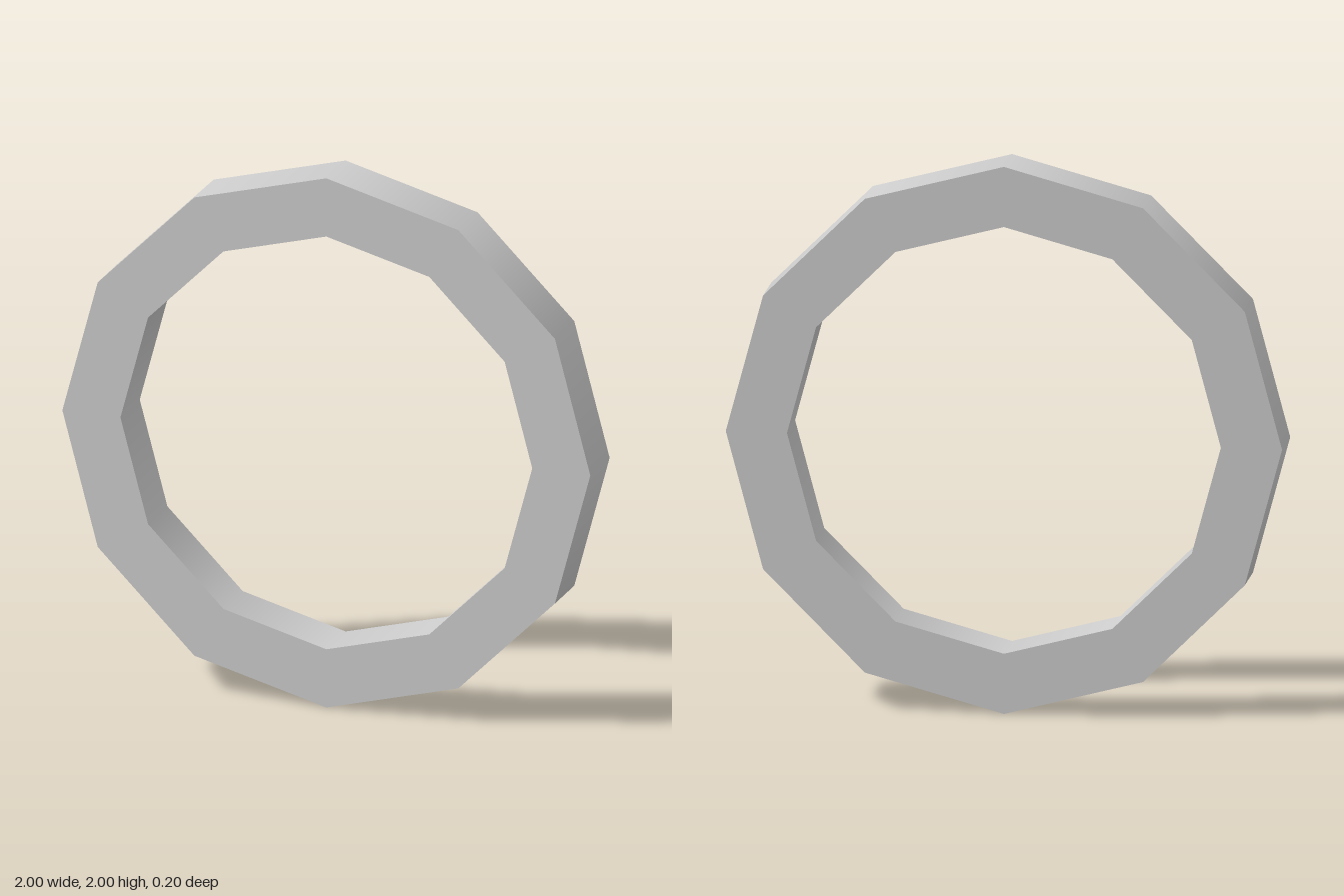
import * as THREE from 'three';
import { mergeGeometries } from 'three/addons/utils/BufferGeometryUtils.js';

const SIDES = 12;
const OUTER = 1;
const INNER = 0.78;
const HALF_DEPTH = 0.1;

export function createModel() {
  const group = new THREE.Group();
  group.name = 'ringModel';

  // Rectangular cross-section, counter-clockwise so faces point outwards
  const section = [
    [INNER, -HALF_DEPTH],
    [OUTER, -HALF_DEPTH],
    [OUTER, HALF_DEPTH],
    [INNER, HALF_DEPTH],
  ].map(([r, y]) => new THREE.Vector2(r, y));

  // One lathe per edge: smooth around the ring, sharp between walls and faces
  const bands = section.map((p, i) =>
    new THREE.LatheGeometry([p, section[(i + 1) % section.length]], SIDES));

  // Stand the twelve-sided ring upright, facing front
  const geometry = mergeGeometries(bands);
  geometry.rotateX(Math.PI / 2);

  const ring = new THREE.Mesh(geometry, new THREE.MeshStandardMaterial({ color: 0xcccccc }));
  ring.name = 'ring';
  ring.position.y = OUTER;
  group.add(ring);

  return group;
}
